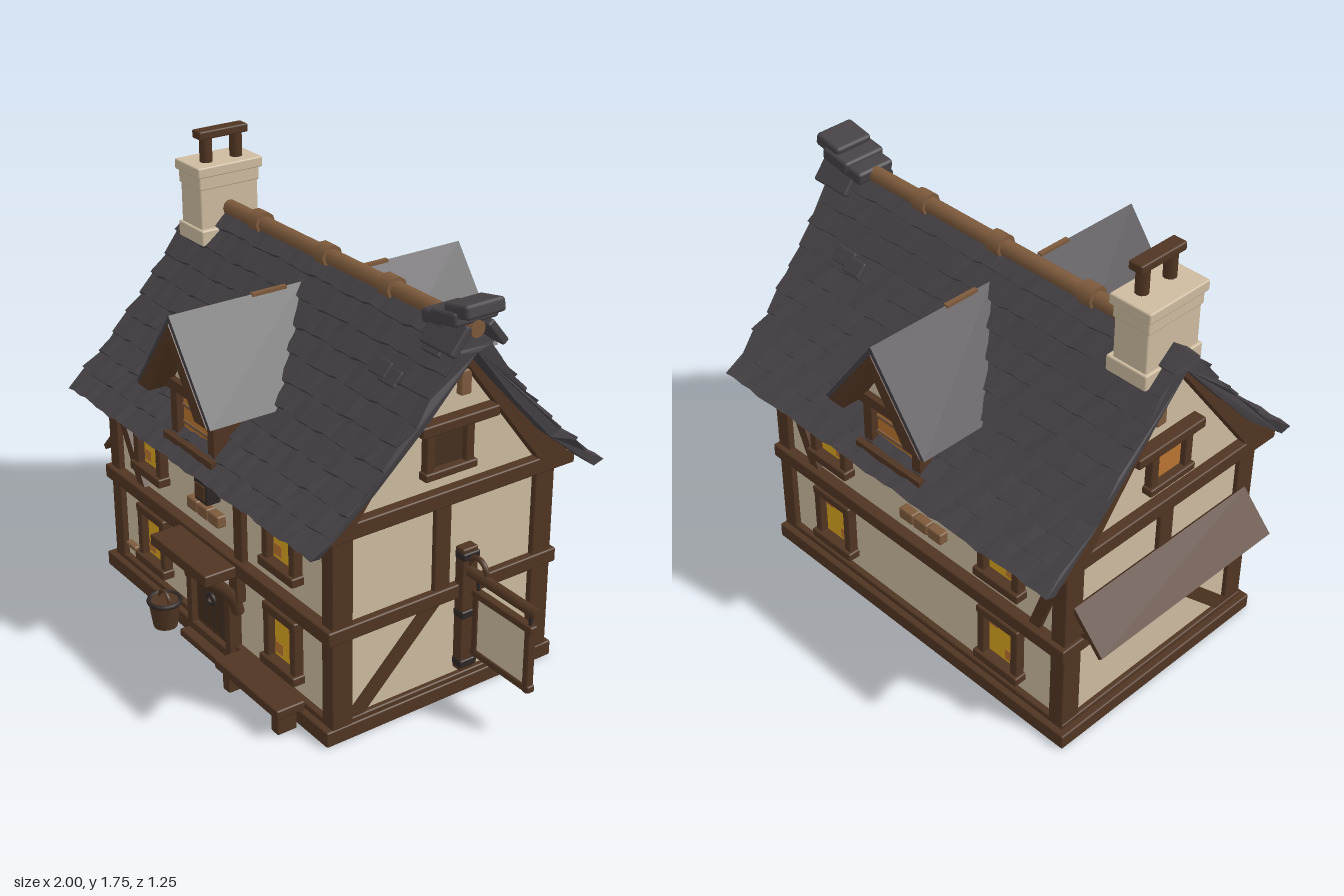
import * as THREE from 'three';
import { RoundedBoxGeometry } from 'three/addons/geometries/RoundedBoxGeometry.js';

const mat = (name, color, side = THREE.FrontSide) => {
  const m = new THREE.MeshStandardMaterial({ color, side });
  m.name = name;
  return m;
};

export function createModel() {
  const plaster = mat('plaster', 0xcdbb9f), timber = mat('timber', 0x503522);
  const lightWood = mat('light wood', 0x7d5a3c), slate = mat('slate', 0x454145, THREE.DoubleSide);
  const gold = mat('lit glass', 0xd9a520), amber = mat('amber glass', 0xb87430);
  const doorWood = mat('door wood', 0x46301f), iron = mat('iron', 0x2e2724);
  const root = new THREE.Group();
  root.name = 'cottage';
  const CX = -0.13; // centre line of the house

  const add = (name, geo, m, parent = root) => {
    const mesh = new THREE.Mesh(geo, m);
    mesh.name = name;
    parent.add(mesh);
    return mesh;
  };
  // Softly bevelled block given by its limits on each axis
  const block = (name, m, [x0, x1], [y0, y1], [z0, z1]) => {
    const w = Math.abs(x1 - x0), h = Math.abs(y1 - y0), d = Math.abs(z1 - z0);
    const r = Math.min(0.006, Math.min(w, h, d) * 0.3);
    const mesh = add(name, new RoundedBoxGeometry(w, h, d, 1, r), m);
    mesh.position.set((x0 + x1) / 2, (y0 + y1) / 2, (z0 + z1) / 2);
    return mesh;
  };
  // Block or rod running between two points
  const between = (mesh, a, b) => {
    const p = new THREE.Vector3(...a), q = new THREE.Vector3(...b);
    mesh.position.copy(p).add(q).multiplyScalar(0.5);
    mesh.quaternion.setFromUnitVectors(new THREE.Vector3(0, 1, 0), q.sub(p).normalize());
    return mesh;
  };
  const dist = (a, b) => Math.hypot(a[0] - b[0], a[1] - b[1], a[2] - b[2]);
  const beam = (name, m, a, b, w, d) => between(add(name, new THREE.BoxGeometry(w, dist(a, b), d), m), a, b);
  const rod = (name, m, a, b, r) => between(add(name, new THREE.CylinderGeometry(r, r, dist(a, b), 10), m), a, b);
  const poly = pts => new THREE.Shape(pts.map(p => new THREE.Vector2(...p)));
  const extrude = (shape, depth, steps = 1) =>
    new THREE.ExtrudeGeometry(shape, { depth, steps, bevelEnabled: false, curveSegments: 10 });
  // Profile in (z, y) swept from x0 to x1
  const sweepX = (shape, x0, x1, steps) => extrude(shape, x1 - x0, steps).rotateY(Math.PI / 2).translate(x0, 0, 0);

  // Walls and base
  block('base', timber, [-0.9, 0.62], [0, 0.06], [-0.5, 0.5]);
  add('walls', sweepX(poly([[-0.45, 0.02], [0.45, 0.02], [0.45, 0.86], [0, 1.38], [-0.45, 0.86]]), -0.855, 0.595), plaster);

  // Timber frame on front and back
  for (const s of [1, -1]) {
    const z = [0.42 * s, 0.475 * s];
    block('lowerBeam', timber, [-0.875, 0.615], [0.05, 0.08], z);
    block('middleBeam', timber, [-0.885, 0.625], [0.4, 0.455], [0.42 * s, 0.495 * s]);
    block('eavesBeam', timber, [-0.885, 0.625], [0.785, 0.84], [0.42 * s, 0.53 * s]);
    for (const x of [-0.84, 0.585]) block('cornerPost', timber, [x - 0.032, x + 0.032], [0.04, 0.82], [0.39 * s, 0.475 * s]);
    beam('brace', timber, [-0.83, 0.77, 0.455 * s], [s > 0 ? -0.64 : -0.72, 0.44, 0.455 * s], 0.045, 0.03);
    if (s > 0) block('upperPost', timber, [0.012, 0.068], [0.44, 0.8], z);
    else beam('brace', timber, [0.55, 0.77, -0.455], [0.41, 0.44, -0.455], 0.045, 0.03);
    // Four lit windows
    for (const x of [-0.565, 0.31]) for (const [y0, y1] of [[0.535, 0.745], [0.14, 0.375]]) {
      block('windowPane', gold, [x - 0.08, x + 0.08], [y0, y1], [0.45 * s, 0.457 * s]);
      block('windowTint', amber, [x - 0.06, x - 0.015], [y0 + 0.04, y0 + 0.085], [0.456 * s, 0.459 * s]);
      block('windowTint', amber, [x + 0.02, x + 0.065], [y1 - 0.08, y1 - 0.035], [0.456 * s, 0.459 * s]);
      for (const e of [-1, 1]) block('windowJamb', timber, [x + e * 0.065, x + e * 0.098], [y0, y1], [0.44 * s, 0.487 * s]);
      block('windowHead', timber, [x - 0.1, x + 0.1], [y1 - 0.03, y1 + 0.005], [0.44 * s, 0.49 * s]);
      block('windowSill', timber, [x - 0.107, x + 0.107], [y0 - 0.008, y0 + 0.028], [0.44 * s, 0.5 * s]);
    }
    // Planter below the dormer
    for (let i = 0; i < 3; i++)
      block('planter', lightWood, [-0.285 + i * 0.072, -0.217 + i * 0.072], [0.528, 0.575], [0.44 * s, 0.485 * s]);
  }

  // Timber frame, gables and their windows on both ends
  for (const s of [1, -1]) {
    const X = d => CX + s * (0.725 + d); // distance out from the end wall
    block('lowerBeam', timber, [X(-0.03), X(0.02)], [0.05, 0.08], [-0.47, 0.47]);
    block('middleBeam', timber, [X(-0.03), X(0.03)], [0.4, 0.455], [-0.49, 0.49]);
    block('gableBeam', timber, [X(-0.03), X(0.04)], [0.785, 0.845], [-0.55, 0.55]);
    block('upperPost', timber, [X(-0.02), X(0.018)], [0.44, 0.8], [-0.022, 0.046]);
    beam('brace', timber, [X(0.002), 0.07, 0.385], [X(0.002), 0.42, 0.03], 0.03, 0.05);
    const barge = poly([[-0.55, 0.8], [0.55, 0.8], [0, 1.425]]);
    barge.holes.push(poly([[-0.39, 0.84], [0, 1.355], [0.39, 0.84]]));
    const bx = [X(-0.01), X(0.04)].sort((a, b) => a - b);
    add('bargeBoards', sweepX(barge, ...bx), timber);
    block('gablePane', s > 0 ? doorWood : amber, [X(0), X(0.008)], [0.93, 1.07], [-0.08, 0.08]);
    for (const z of [-0.083, 0.083]) block('gableJamb', timber, [X(-0.01), X(0.03)], [0.92, 1.08], [z - 0.018, z + 0.018]);
    block('gableSill', timber, [X(-0.01), X(0.04)], [0.9, 0.93], [-0.11, 0.11]);
    block('gableLintel', timber, [X(-0.01), X(0.05)], [1.07, 1.11], [-0.19, 0.135]);
    block('gableHook', lightWood, [X(-0.01), X(0.025)], [1.17, 1.26], [-0.085, -0.04]);
  }

  // Main roof: swept profile with stepped slate courses and a slight sag
  const curve = new THREE.SplineCurve([[0, 1.455], [0.08, 1.365], [0.21, 1.2], [0.4, 0.99], [0.54, 0.86], [0.61, 0.8]]
    .map(p => new THREE.Vector2(...p)));
  const half = [], courses = 10;
  for (let i = 0; i < courses; i++) {
    const a = curve.getPointAt(i / courses), b = curve.getPointAt((i + 1) / courses);
    half.push([a.x, a.y], [b.x + 0.007, b.y + 0.009]);
  }
  const under = [[0.575, 0.795], [0.37, 0.965], [0.18, 1.17]];
  const flip = pts => pts.map(([x, y]) => [-x, y]).reverse();
  const roofGeo = sweepX(poly([...half, ...under, [0, 1.38], ...flip(under), ...flip(half.slice(1))]), -0.91, 0.7, 36);
  const rp = roofGeo.attributes.position;
  for (let i = 0; i < rp.count; i++) {
    const x = rp.getX(i), y = rp.getY(i), z = rp.getZ(i), end = (x - CX) / 0.8;
    rp.setX(i, x + end ** 9 * 0.007 * Math.sin(y * 47 + z * 9) + Math.max(0, end) ** 5 * 0.03 * (y - 0.8) / 0.65);
    rp.setY(i, y + 0.004 * Math.sin(x * 23 + z * 31) + 0.004 * Math.sin(x * 57 + y * 40));
  }
  roofGeo.computeVertexNormals();
  add('roof', roofGeo, slate);
  // Loose slates
  for (const [x, y, z, s] of [[0.45, 1.265, 0.16, 1], [0.51, 1.255, 0.165, 1], [0.44, 1.21, 0.21, -1], [0.5, 1.22, 0.2, -1], [0.62, 1.38, 0.075, 1]]) {
    const tile = add('looseSlate', new RoundedBoxGeometry(0.09, 0.02, 0.06, 1, 0.006), slate);
    tile.position.set(x, y, z * s);
    tile.rotation.x = 0.86 * s;
  }

  // Ridge pole with collars and a ragged slate cap
  rod('ridgePole', lightWood, [-0.72, 1.455, 0], [0.74, 1.46, 0], 0.03);
  for (const x of [-0.5, -0.08, 0.29]) rod('ridgeCollar', lightWood, [x - 0.03, 1.46, 0], [x + 0.03, 1.46, 0], 0.042);
  [[0.6, 1.47, 0.11, 0.16], [0.67, 1.495, 0.13, 0.18], [0.72, 1.53, 0.12, 0.16]].forEach(([x, y, w, d], i) => {
    const cap = add('ridgeCap', new RoundedBoxGeometry(w, 0.05, d, 1, 0.012), slate);
    cap.position.set(x, y, 0);
    cap.rotation.z = 0.12 + i * 0.04;
  });
  for (const s of [-1, 1]) {
    const flap = add('ridgeFlap', new RoundedBoxGeometry(0.17, 0.03, 0.11, 1, 0.008), slate);
    flap.position.set(0.67, 1.435, 0.075 * s);
    flap.rotation.x = 0.9 * s;
  }

  // Dormers
  const DX = -0.12;
  for (const s of [1, -1]) {
    const dormer = new THREE.Group();
    dormer.name = 'dormer';
    dormer.position.x = DX;
    dormer.rotation.y = s > 0 ? 0 : Math.PI;
    root.add(dormer);
    const put = (name, m, w, h, d, x, y, z) => add(name, new THREE.BoxGeometry(w, h, d), m, dormer).position.set(x, y, z);
    const chevron = poly([[-0.245, 1.035], [-0.19, 1.035], [0, 1.285], [0.19, 1.035], [0.245, 1.035], [0, 1.365]]);
    add('dormerRoof', extrude(chevron, 0.535).translate(0, 0, 0.085), slate, dormer);
    const boards = poly([[-0.225, 1.035], [-0.15, 1.035], [0, 1.265], [0.15, 1.035], [0.225, 1.035], [0, 1.335]]);
    add('dormerBargeBoards', extrude(boards, 0.09).translate(0, 0, 0.534), timber, dormer);
    add('dormerGable', extrude(poly([[-0.17, 1.04], [0.17, 1.04], [0, 1.29]]), 0.3).translate(0, 0, 0.23), plaster, dormer);
    put('dormerBody', timber, 0.27, 0.22, 0.3, 0, 0.945, 0.36);
    put('dormerPane', amber, 0.21, 0.19, 0.008, 0, 0.94, 0.513);
    for (const x of [-0.12, 0.12]) put('dormerJamb', timber, 0.04, 0.23, 0.05, x, 0.945, 0.52);
    put('dormerHead', timber, 0.31, 0.04, 0.06, 0, 1.055, 0.525);
    put('dormerSill', timber, 0.32, 0.035, 0.07, 0, 0.845, 0.535);
    for (const y of [0.91, 0.975]) put('dormerBar', lightWood, 0.21, 0.012, 0.016, 0, y, 0.515);
    put('dormerRidge', lightWood, 0.018, 0.012, 0.14, 0, 1.363, 0.22);
  }

  // Chimney with a double pot
  block('chimney', plaster, [-0.85, -0.71], [1.33, 1.56], [-0.125, 0.125]);
  block('chimneyFoot', plaster, [-0.86, -0.69], [1.33, 1.39], [-0.135, 0.135]);
  block('chimneyCap', plaster, [-0.866, -0.695], [1.59, 1.63], [-0.14, 0.14]);
  block('chimneyNeck', plaster, [-0.856, -0.705], [1.54, 1.6], [-0.13, 0.13]);
  for (const z of [-0.065, 0.065]) rod('chimneyPost', timber, [-0.763, 1.62, z], [-0.763, 1.73, z], 0.024);
  block('chimneyBar', timber, [-0.792, -0.735], [1.72, 1.752], [-0.105, 0.105]);

  // Arched door, porch beam and brackets
  const arch = (w, h) => new THREE.Shape().moveTo(-w, 0).lineTo(w, 0).lineTo(w, h - w).absarc(0, h - w, w, 0, Math.PI).lineTo(-w, 0);
  const frame = arch(0.148, 0.385);
  frame.holes.push(arch(0.115, 0.35));
  add('doorFrame', extrude(frame, 0.06).translate(-0.135, 0.01, 0.44), timber);
  add('door', extrude(arch(0.12, 0.355), 0.03).translate(-0.135, 0.01, 0.445), doorWood);
  for (let i = -1; i <= 1; i++) block('doorGroove', iron, [-0.137 + i * 0.055, -0.133 + i * 0.055], [0.03, 0.3], [0.474, 0.478]);
  block('doorHinge', iron, [-0.2, -0.07], [0.27, 0.285], [0.474, 0.482]);
  add('doorKnocker', new THREE.TorusGeometry(0.022, 0.007, 6, 14), iron).position.set(-0.135, 0.21, 0.485);
  block('doorStep', timber, [-0.28, 0.01], [0, 0.03], [0.47, 0.54]);
  block('porchBeam', timber, [-0.325, 0.055], [0.395, 0.44], [0.45, 0.62]);
  for (const x of [-0.295, 0.025]) {
    const path = new THREE.QuadraticBezierCurve3(new THREE.Vector3(x, 0.23, 0.47), new THREE.Vector3(x, 0.32, 0.48), new THREE.Vector3(x, 0.4, 0.585));
    add('porchBracket', new THREE.TubeGeometry(path, 8, 0.024, 6), timber);
    block('bracketBlock', timber, [x - 0.028, x + 0.028], [0.28, 0.4], [0.45, 0.49]);
  }

  // Lantern, bench, pail and small ledge on the front
  block('lantern', iron, [-0.185, -0.1], [0.615, 0.71], [0.45, 0.51]);
  block('lanternTrim', timber, [-0.175, -0.11], [0.63, 0.69], [0.5, 0.515]);
  add('lanternHandle', new THREE.TorusGeometry(0.032, 0.005, 6, 14, Math.PI), iron).position.set(-0.142, 0.71, 0.48);
  block('benchSeat', timber, [0.09, 0.49], [0.085, 0.122], [0.5, 0.615]);
  for (const x of [0.13, 0.44]) block('benchLeg', timber, [x - 0.022, x + 0.022], [0, 0.09], [0.515, 0.595]);
  add('pail', new THREE.CylinderGeometry(0.062, 0.046, 0.11, 14), timber).position.set(-0.375, 0.055, 0.545);
  add('pailRim', new THREE.TorusGeometry(0.06, 0.009, 6, 18).rotateX(Math.PI / 2), iron).position.set(-0.375, 0.108, 0.545);
  add('pailHandle', new THREE.TorusGeometry(0.035, 0.007, 6, 14, Math.PI), timber).position.set(-0.375, 0.11, 0.545);
  block('ledge', lightWood, [-0.79, -0.72], [0.13, 0.148], [0.44, 0.475]);

  // Lean-to awning on the left-hand end
  beam('awning', timber, [-0.865, 0.605, 0], [-0.995, 0.465, 0], 0.02, 0.87);
  for (const z of [-0.38, 0.38]) beam('awningStrut', timber, [-0.86, 0.45, z], [-0.955, 0.5, z], 0.02, 0.03);

  // Hanging sign on the other end
  const SZ = -0.085;
  block('signPost', timber, [0.6, 0.645], [0.11, 0.6], [SZ - 0.033, SZ + 0.033]);
  for (const y of [0.14, 0.34, 0.57]) block('signPostBand', iron, [0.6, 0.652], [y - 0.015, y + 0.015], [SZ - 0.036, SZ + 0.036]);
  rod('signArm', timber, [0.62, 0.508, SZ], [0.995, 0.508, SZ], 0.02);
  add('signScroll', new THREE.TorusGeometry(0.045, 0.01, 6, 16, Math.PI), timber).position.set(0.685, 0.53, SZ);
  for (const x of [0.69, 0.96]) {
    rod('signHanger', iron, [x, 0.43, SZ], [x, 0.51, SZ], 0.007);
    block('signStile', timber, [x - 0.013, x + 0.013], [0.19, 0.45], [SZ - 0.016, SZ + 0.016]);
  }
  for (const y of [0.207, 0.44]) block('signRail', timber, [0.67, 0.98], [y - 0.014, y + 0.014], [SZ - 0.016, SZ + 0.016]);
  block('signPanel', plaster, [0.69, 0.96], [0.205, 0.44], [SZ - 0.009, SZ + 0.009]);
  return root;
}
